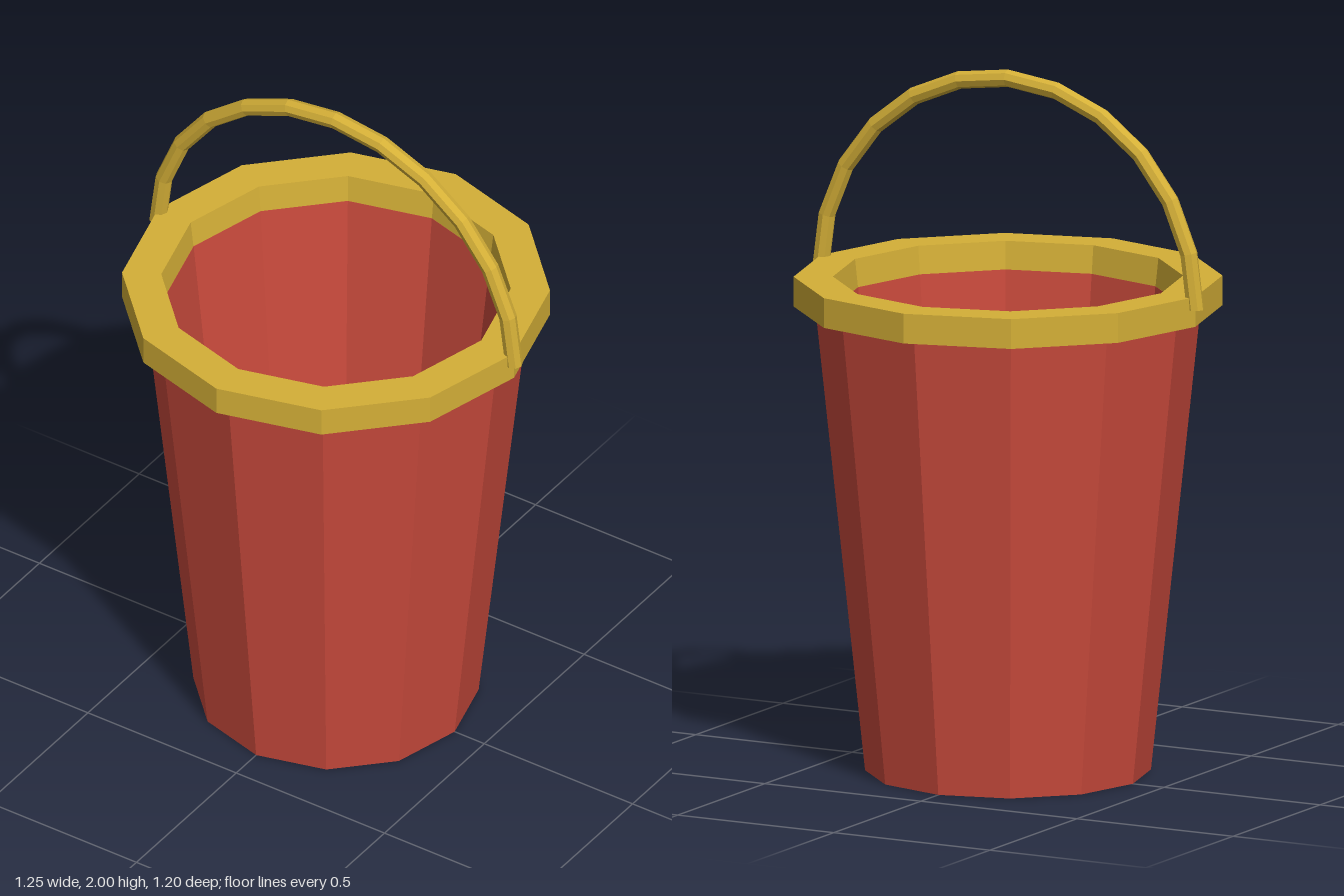
import * as THREE from 'three';

const SIDES = 12;
const red = new THREE.MeshStandardMaterial({ color: 0xc94a3c, flatShading: true });
const gold = new THREE.MeshStandardMaterial({ color: 0xd4af37, flatShading: true });

function addMesh(parent, name, geometry, material) {
  const mesh = new THREE.Mesh(geometry, material);
  mesh.name = name;
  parent.add(mesh);
  return mesh;
}

// Twelve-sided solid from a [radius, height] profile, outside going up
function lathe(profile) {
  return new THREE.LatheGeometry(profile.map(([r, y]) => new THREE.Vector2(r, y)), SIDES);
}

export function createModel() {
  const bucket = new THREE.Group();
  bucket.name = 'bucket';

  // Tapered, hollow body with a thick wall and floor
  addMesh(bucket, 'body', lathe([
    [0, 0], [0.4, 0], [0.54, 1.33], [0.48, 1.33], [0.345, 0.05], [0, 0.05],
  ]), red);

  // Overhanging rim band
  addMesh(bucket, 'rim', lathe([
    [0.48, 1.325], [0.6, 1.325], [0.6, 1.41], [0.49, 1.41], [0.48, 1.325],
  ]), gold);

  // Half-ring handle with closed ends
  const arc = 0.6, tube = 0.025, pivotY = 1.375;
  const handle = new THREE.Group();
  handle.name = 'handle';
  handle.position.y = pivotY;
  addMesh(handle, 'handleBar', new THREE.TorusGeometry(arc, tube, 8, 12, Math.PI), gold);
  for (const side of [-1, 1]) {
    const cap = addMesh(handle, side > 0 ? 'leftHandleEnd' : 'rightHandleEnd',
      new THREE.CircleGeometry(tube, 8), gold);
    cap.rotation.x = Math.PI / 2;
    cap.position.x = side * arc;
  }
  bucket.add(handle);

  return bucket;
}
